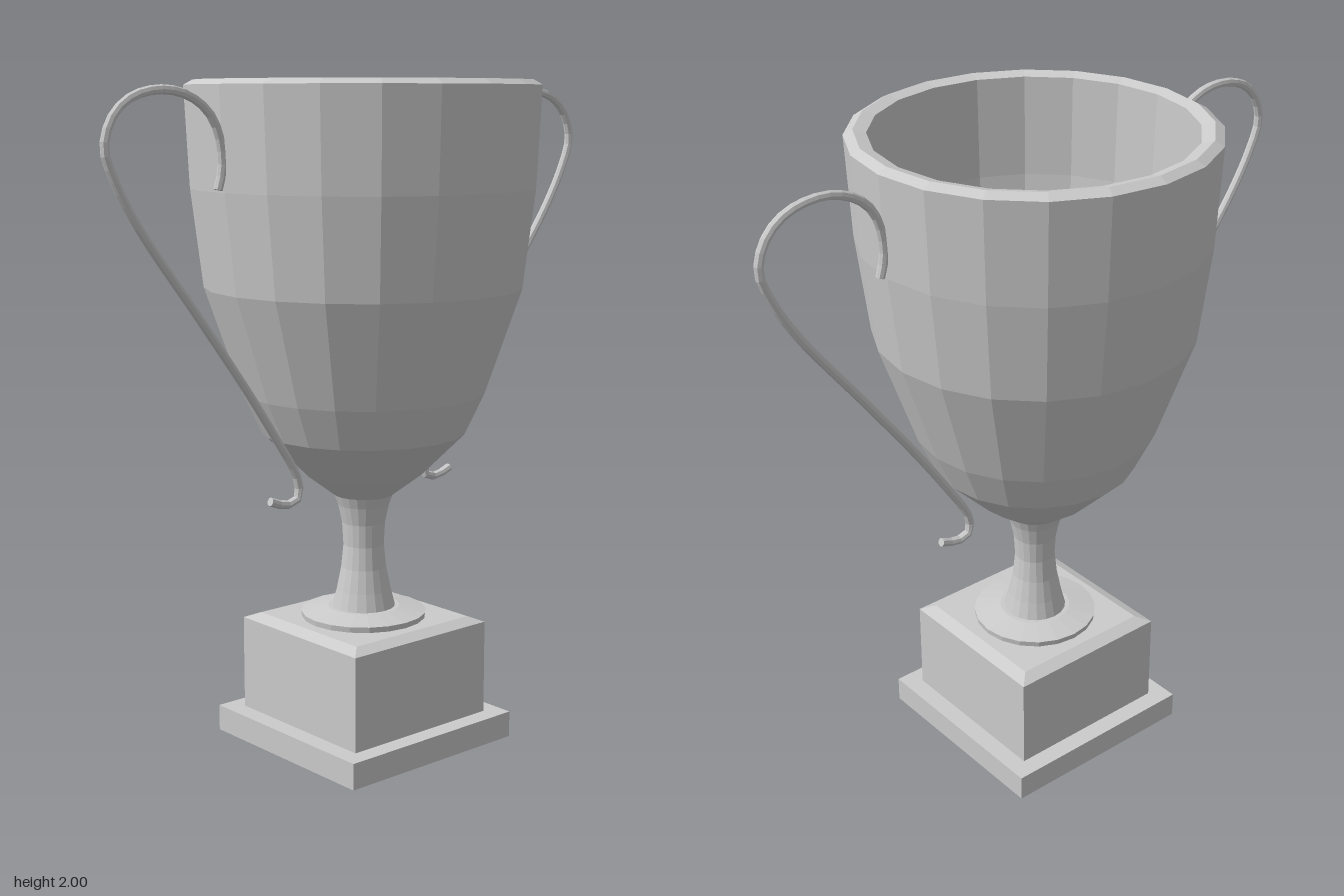
import * as THREE from 'three';

const material = new THREE.MeshStandardMaterial({ color: 0xcccccc, flatShading: true });

function add(parent, name, geometry) {
  const mesh = new THREE.Mesh(geometry, material);
  mesh.name = name;
  parent.add(mesh);
  return mesh;
}

// Turned part from [radius, height] pairs, listed with the outside on the right
function turned(profile, sides = 20) {
  return new THREE.LatheGeometry(profile.map(([r, y]) => new THREE.Vector2(r, y)), sides);
}

// Square block between two heights, given half widths at the bottom and top
function block(bottomHalf, topHalf, y0, y1) {
  const g = new THREE.CylinderGeometry(topHalf * Math.SQRT2, bottomHalf * Math.SQRT2, y1 - y0, 4);
  return g.rotateY(Math.PI / 4).translate(0, (y0 + y1) / 2, 0);
}

export function createModel() {
  const trophy = new THREE.Group();
  trophy.name = 'trophyCup';

  // Square base with a chamfered top
  const base = new THREE.Group();
  base.name = 'base';
  trophy.add(base);
  add(base, 'plinth', block(0.32, 0.32, 0, 0.08));
  add(base, 'pedestal', block(0.263, 0.263, 0.08, 0.368));
  add(base, 'pedestalChamfer', block(0.263, 0.225, 0.368, 0.385));

  // Round foot and waisted stem
  add(trophy, 'foot', turned([[0, 0.384], [0.19, 0.384], [0.192, 0.402], [0.11, 0.417], [0, 0.417]]));
  add(trophy, 'stem', turned([
    [0.097, 0.415], [0.083, 0.47], [0.069, 0.54], [0.062, 0.61],
    [0.066, 0.68], [0.078, 0.735], [0.092, 0.775],
  ]));

  // Thick-walled bowl: outer wall, bevelled rim, then inner wall
  add(trophy, 'bowl', turned([
    [0, 0.767], [0.09, 0.767], [0.18, 0.835], [0.307, 0.962], [0.365, 1.085],
    [0.473, 1.4], [0.508, 1.69], [0.522, 1.985], [0.495, 2],
    [0.458, 1.99], [0.448, 1.69], [0.415, 1.41], [0.31, 1.1],
    [0.25, 0.98], [0.07, 0.84], [0, 0.83],
  ]));

  // Curled handles at the front and back, as [distance from axis, height]
  const path = [
    [0.53, 1.7], [0.515, 1.76], [0.525, 1.85], [0.558, 1.91], [0.625, 1.955],
    [0.71, 1.97], [0.805, 1.95], [0.865, 1.9], [0.892, 1.82], [0.862, 1.73],
    [0.79, 1.605], [0.6, 1.35], [0.435, 1.125], [0.33, 0.97], [0.275, 0.885],
    [0.255, 0.84], [0.256, 0.793], [0.3, 0.778], [0.36, 0.797],
  ];
  const curve = new THREE.CatmullRomCurve3(path.map(([z, y]) => new THREE.Vector3(0, y, z)));
  const handleGeometry = new THREE.TubeGeometry(curve, 56, 0.013, 8);
  ['frontHandle', 'backHandle'].forEach((name, i) => {
    const handle = new THREE.Group();
    handle.name = name;
    handle.rotation.y = i * Math.PI;
    trophy.add(handle);
    add(handle, 'rod', handleGeometry);
    // Flat caps closing the rod ends
    [0, 1].forEach((t) => {
      const cap = add(handle, 'rodEnd', new THREE.CircleGeometry(0.013, 8));
      const end = curve.getPointAt(t);
      const outward = curve.getTangentAt(t).multiplyScalar(t ? 1 : -1);
      cap.position.copy(end);
      cap.quaternion.setFromUnitVectors(new THREE.Vector3(0, 0, 1), outward);
    });
  });

  return trophy;
}
